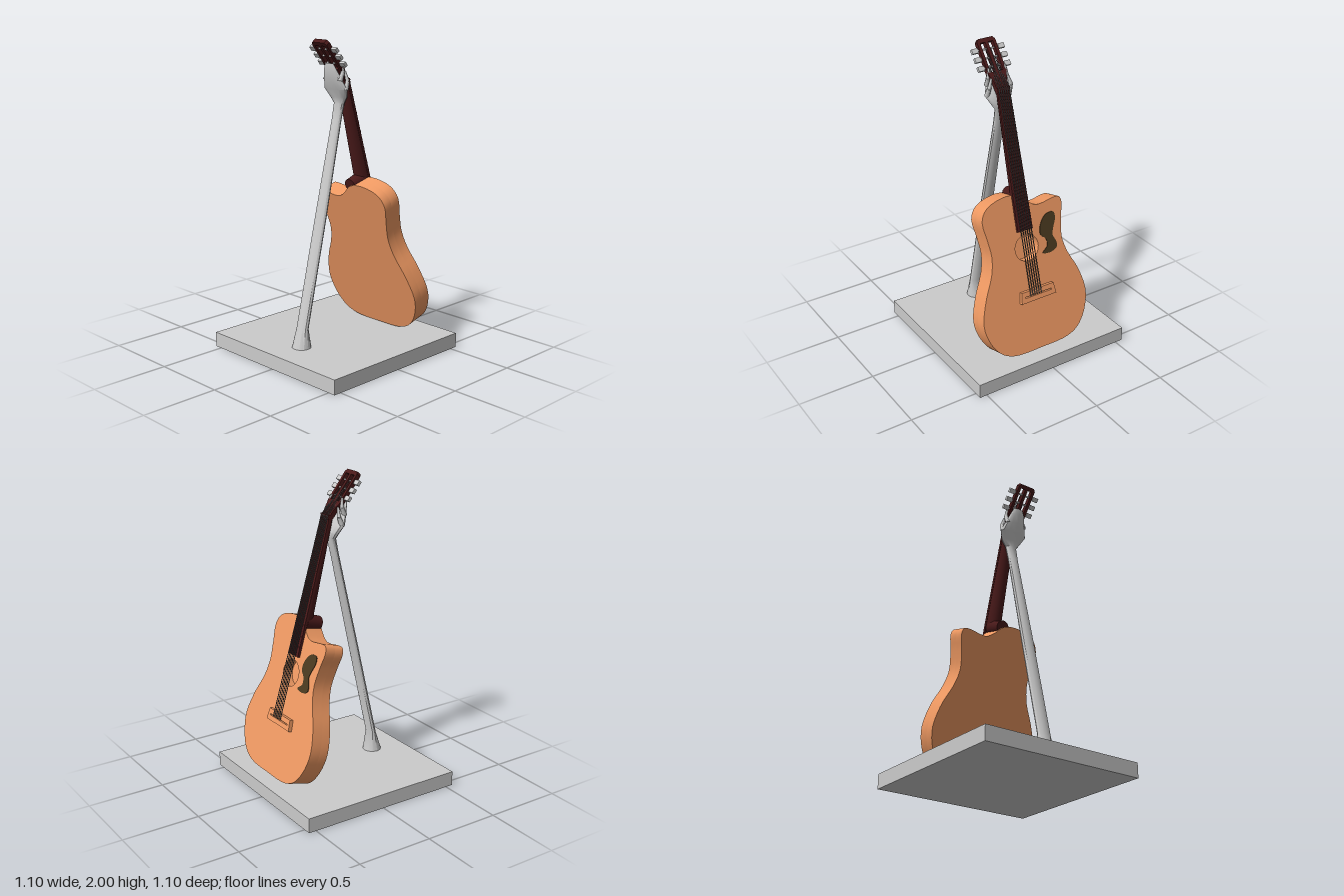
import * as THREE from 'three';
import { toCreasedNormals } from 'three/addons/utils/BufferGeometryUtils.js';

const mat = (color, side = THREE.FrontSide) => new THREE.MeshStandardMaterial({ color, side });
const GREY = mat(0xcccccc), WOOD = mat(0xf09a63), DARK = mat(0x4a1a1a);
const GUARD = mat(0x4a3a20), STRING = mat(0x555555);
const V = (x, y, z) => new THREE.Vector3(x, y, z);

function add(parent, name, geo, material, x = 0, y = 0, z = 0) {
  const m = new THREE.Mesh(geo, material);
  m.name = name;
  m.position.set(x, y, z);
  parent.add(m);
  return m;
}

// Skin a stack of closed rings (counter-clockwise seen from the last ring) and cap the ends
function loft(rings, crease = 0.7) {
  const n = rings[0].length, pos = [], idx = [];
  rings.forEach(r => r.forEach(p => pos.push(p.x, p.y, p.z)));
  for (let k = 0; k < rings.length - 1; k++) {
    for (let i = 0; i < n; i++) {
      const a = k * n + i, b = k * n + (i + 1) % n;
      idx.push(a, b, a + n, b, b + n, a + n);
    }
  }
  const top = (rings.length - 1) * n;
  for (let i = 1; i < n - 1; i++) idx.push(0, i + 1, i, top, top + i, top + i + 1);
  const g = new THREE.BufferGeometry();
  g.setAttribute('position', new THREE.Float32BufferAttribute(pos, 3));
  g.setIndex(idx);
  return toCreasedNormals(g, crease);
}

const ellipse = (x, y, z, rx, rz, n = 12) => Array.from({ length: n }, (_, i) => {
  const a = i / n * Math.PI * 2;
  return V(x + rx * Math.cos(a), y, z - rz * Math.sin(a));
});

// Half-round section: flat front at z = front, rounded back
const halfRound = (y, hw, front, depth, n = 12) => Array.from({ length: n + 1 }, (_, i) => {
  const a = i / n * Math.PI;
  return V(hw * Math.cos(a), y, front - depth * Math.sin(a));
});

function rod(parent, name, a, b, r, material, r2 = r, sides = 6) {
  const m = add(parent, name, new THREE.CylinderGeometry(r2, r, a.distanceTo(b), sides), material);
  m.position.copy(a).lerp(b, 0.5);
  m.quaternion.setFromUnitVectors(V(0, 1, 0), b.clone().sub(a).normalize());
  return m;
}

function splineShape(points) {
  const curve = new THREE.CatmullRomCurve3(points.map(p => V(p[0], p[1], 0)), true, 'centripetal');
  return new THREE.Shape(curve.getPoints(96).slice(0, -1).map(p => new THREE.Vector2(p.x, p.y)));
}

const polygon = pts => new THREE.Shape(pts.map(p => new THREE.Vector2(p[0], p[1])));
const extrude = (shape, depth) =>
  toCreasedNormals(new THREE.ExtrudeGeometry(shape, { depth, bevelEnabled: false, curveSegments: 24 }), 0.6);

function buildBody(guitar) {
  const outline = [
    [0, 0], [0.2, 0.008], [0.29, 0.05], [0.355, 0.14], [0.386, 0.265], [0.354, 0.417],
    [0.29, 0.556], [0.265, 0.66], [0.28, 0.785], [0.3, 0.885], [0.285, 0.92], [0.25, 0.925],
    [0.116, 0.912], [0.055, 0.95], [0, 1.0], [-0.1, 1.018], [-0.235, 0.98], [-0.28, 0.912],
    [-0.265, 0.785], [-0.254, 0.676], [-0.275, 0.566], [-0.344, 0.417], [-0.385, 0.265],
    [-0.355, 0.14], [-0.29, 0.05], [-0.2, 0.008],
  ];
  add(guitar, 'bodyBack', extrude(splineShape(outline), 0.06), WOOD);
  const top = splineShape(outline);
  top.holes.push(new THREE.Path().absarc(0, 0.665, 0.085, 0, Math.PI * 2, true));
  add(guitar, 'bodyFront', extrude(top, 0.07), WOOD, 0, 0, 0.06);

  const guard = splineShape([
    [0.185, 0.84], [0.228, 0.835], [0.233, 0.795], [0.207, 0.73], [0.197, 0.695], [0.217, 0.645],
    [0.217, 0.61], [0.17, 0.588], [0.108, 0.598], [0.148, 0.635], [0.145, 0.68], [0.112, 0.715],
    [0.112, 0.76], [0.148, 0.82],
  ]);
  add(guitar, 'pickguard', extrude(guard, 0.004), GUARD, 0, 0, 0.13);

  // Bridge with a recessed saddle slot
  const bridge = polygon([[-0.11, 0.327], [0.148, 0.327], [0.138, 0.398], [-0.1, 0.398]]);
  bridge.holes.push(polygon([[-0.08, 0.358], [-0.08, 0.366], [0.118, 0.366], [0.118, 0.358]]));
  add(guitar, 'bridge', extrude(bridge, 0.025), WOOD, 0, 0, 0.13);
}

function buildNeck(guitar) {
  add(guitar, 'neck', loft([
    halfRound(0.99, 0.05, 0.135, 0.07), halfRound(1.05, 0.05, 0.135, 0.065),
    halfRound(1.6, 0.043, 0.135, 0.04), halfRound(1.69, 0.043, 0.135, 0.033),
  ]), DARK);
  const heel = add(guitar, 'neckHeel', new THREE.CylinderGeometry(0.052, 0.045, 0.115, 20), DARK, 0, 1.0, 0.067);
  heel.rotation.x = Math.PI / 2;
  const board = polygon([[-0.055, 0.78], [0.055, 0.78], [0.044, 1.67], [-0.044, 1.67]]);
  add(guitar, 'fretboard', extrude(board, 0.017), DARK, 0, 0, 0.129);
  // Frets, narrowing with the board
  for (let i = 0; i < 16; i++) {
    const y = 1.67 - 0.98 * (1 - Math.pow(2, -(i + 1) / 12)) * 1.4;
    if (y > 0.8) add(guitar, 'fret', new THREE.BoxGeometry(0.09 + (1.67 - y) * 0.022, 0.003, 0.002), DARK, 0, y, 0.147);
  }
  add(guitar, 'nut', new THREE.BoxGeometry(0.088, 0.012, 0.022), DARK, 0, 1.67, 0.142);
}

function buildHeadstock(guitar) {
  const head = new THREE.Group();
  head.name = 'headstock';
  head.position.set(0, 1.67, 0.145);
  head.rotation.x = -0.38;
  guitar.add(head);

  const plate = polygon([[-0.043, -0.02], [0.043, -0.02], [0.046, 0.05], [0.064, 0.1], [0.064, 0.305],
    [0.05, 0.322], [-0.05, 0.322], [-0.064, 0.305], [-0.064, 0.1], [-0.046, 0.05]]);
  for (const s of [-1, 1]) {
    plate.holes.push(polygon([[s * 0.01, 0.11], [s * 0.044, 0.11], [s * 0.044, 0.295], [s * 0.01, 0.295]]));
  }
  add(head, 'headstockPlate', extrude(plate, 0.03), DARK, 0, 0, -0.03);

  // Tuners, posts and the string ends wound on them
  for (const s of [-1, 1]) {
    for (let i = 0; i < 3; i++) {
      const y = 0.145 + i * 0.056;
      add(head, 'tunerButton', new THREE.BoxGeometry(0.042, 0.03, 0.02), GREY, s * 0.092, y, -0.015);
      rod(head, 'tunerPost', V(s * 0.005, y, -0.015), V(s * 0.075, y, -0.015), 0.006, GREY, 0.006, 8);
      rod(head, 'stringEnd', V(s * (0.007 + 0.0135 * (2 - i) * 1.0), 0, 0.008),
        V(s * (0.034 - i * 0.008), y, -0.009), 0.0025, STRING);
    }
  }
}

function buildArm(group) {
  // Rows of y, x, z, half depth, half width: foot, shaft, wrist and open palm
  const rows = [
    [0.09, -0.33, 0.03, 0.062, 0.062], [0.22, -0.322, 0.033, 0.026, 0.046],
    [0.9, -0.166, 0.035, 0.025, 0.044], [1.5, -0.028, 0.035, 0.023, 0.036],
    [1.6, -0.005, 0.035, 0.024, 0.04], [1.64, -0.008, 0.032, 0.03, 0.07],
    [1.69, -0.03, 0.032, 0.032, 0.098], [1.75, -0.055, 0.033, 0.028, 0.075],
    [1.81, -0.08, 0.035, 0.018, 0.055], [1.85, -0.09, 0.035, 0.008, 0.035],
  ];
  add(group, 'armAndHand', loft(rows.map(([y, x, z, rx, rz]) => ellipse(x, y, z, rx, rz)), 0.6), GREY);
  // Fingers reaching around both sides of the neck
  for (const s of [-1, 1]) {
    const z = d => 0.035 + s * d;
    for (let i = 0; i < 2; i++) {
      const x = -0.03 - i * 0.03, y = 1.69 + i * 0.055;
      const knuckle = V(x + 0.02, y + 0.05, z(0.077 - i * 0.012));
      rod(group, 'fingerBase', V(x, y, z(0.08 - i * 0.018)), knuckle, 0.017, GREY, 0.013, 7);
      rod(group, 'fingerTip', knuckle, V(x + 0.015, y + 0.11, z(0.058)), 0.013, GREY, 0.007, 7);
    }
  }
}

export function createModel() {
  const model = new THREE.Group();
  model.name = 'guitarOnStand';
  add(model, 'base', new THREE.BoxGeometry(1.1, 0.095, 1.1), GREY, 0, 0.0475, 0);
  buildArm(model);

  // Guitar built upright facing +z, then turned to face +x and leaned back
  const guitar = new THREE.Group();
  guitar.name = 'guitar';
  guitar.position.set(0.355, 0.1, 0.04);
  guitar.rotation.set(0, Math.PI / 2, 0.28, 'ZYX');
  model.add(guitar);
  buildBody(guitar);
  buildNeck(guitar);
  buildHeadstock(guitar);
  for (let i = 0; i < 6; i++) {
    const t = i / 2.5 - 1;
    rod(guitar, 'string', V(t * 0.04, 0.362, 0.157), V(t * 0.034, 1.672, 0.153), 0.003, STRING);
  }
  return model;
}
